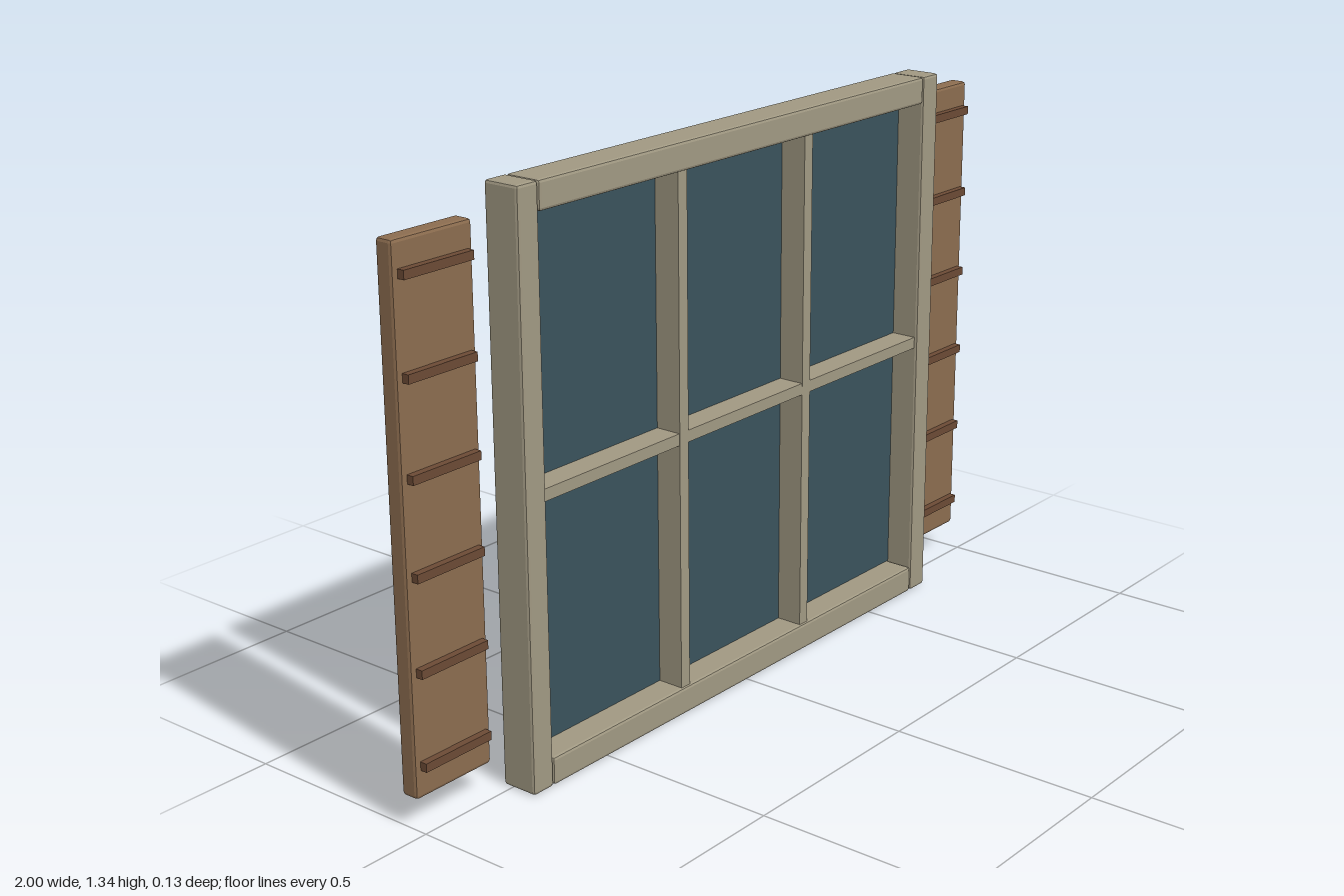
import * as THREE from 'three';
import { RoundedBoxGeometry } from 'three/addons/geometries/RoundedBoxGeometry.js';

const frameMat = new THREE.MeshStandardMaterial({ color: 0xa09882, flatShading: true });
const woodMat = new THREE.MeshStandardMaterial({ color: 0x8b6c4f, flatShading: true });
const slatMat = new THREE.MeshStandardMaterial({ color: 0x6b4a35, flatShading: true });
const glassMat = new THREE.MeshStandardMaterial({ color: 0x3a525c, flatShading: true });

// Box given by its [min, max] extent on each axis; bevel > 0 chamfers its edges
function block(parent, name, material, [x0, x1], [y0, y1], [z0, z1], bevel = 0) {
  const size = [x1 - x0, y1 - y0, z1 - z0];
  const geometry = bevel
    ? new RoundedBoxGeometry(...size, 1, bevel)
    : new THREE.BoxGeometry(...size);
  const mesh = new THREE.Mesh(geometry, material);
  mesh.name = name;
  mesh.position.set((x0 + x1) / 2, (y0 + y1) / 2, (z0 + z1) / 2);
  parent.add(mesh);
}

// Shutter board with raised slats on its front, centred on x = 0
function makeShutter(name) {
  const shutter = new THREE.Group();
  shutter.name = name;
  block(shutter, 'shutterBoard', woodMat, [-0.11, 0.11], [0.07, 1.27], [-0.066, -0.021], 0.008);
  for (let i = 0; i < 6; i++) {
    const y = 0.145 + i * 0.211;
    block(shutter, 'shutterSlat', slatMat, [-0.096, 0.096], [y - 0.01, y + 0.01], [-0.03, -0.004]);
  }
  return shutter;
}

export function createModel() {
  const model = new THREE.Group();
  model.name = 'shutteredWindow';
  const depth = [-0.025, 0.066];

  // Outer frame: two posts with rails between them
  block(model, 'rightPost', frameMat, [-0.74, -0.679], [0, 1.34], depth, 0.007);
  block(model, 'leftPost', frameMat, [0.679, 0.74], [0, 1.34], depth, 0.007);
  block(model, 'bottomRail', frameMat, [-0.677, 0.677], [0, 0.066], depth, 0.007);
  block(model, 'topRail', frameMat, [-0.677, 0.677], [1.274, 1.34], depth, 0.007);

  // Pane, standing slightly proud of the frame at the back
  block(model, 'glassPane', glassMat, [-0.677, 0.677], [0.062, 1.278], [-0.042, -0.005]);

  // Glazing bars
  for (const x of [-0.225, 0.225]) {
    block(model, 'verticalBar', frameMat, [x - 0.015, x + 0.015], [0.064, 1.276], [-0.01, 0.06]);
  }
  block(model, 'horizontalBar', frameMat, [-0.677, 0.677], [0.656, 0.684], [-0.01, 0.059]);

  // Shutters on both sides
  for (const [name, x] of [['rightShutter', -0.89], ['leftShutter', 0.89]]) {
    const shutter = makeShutter(name);
    shutter.position.x = x;
    model.add(shutter);
  }
  return model;
}
